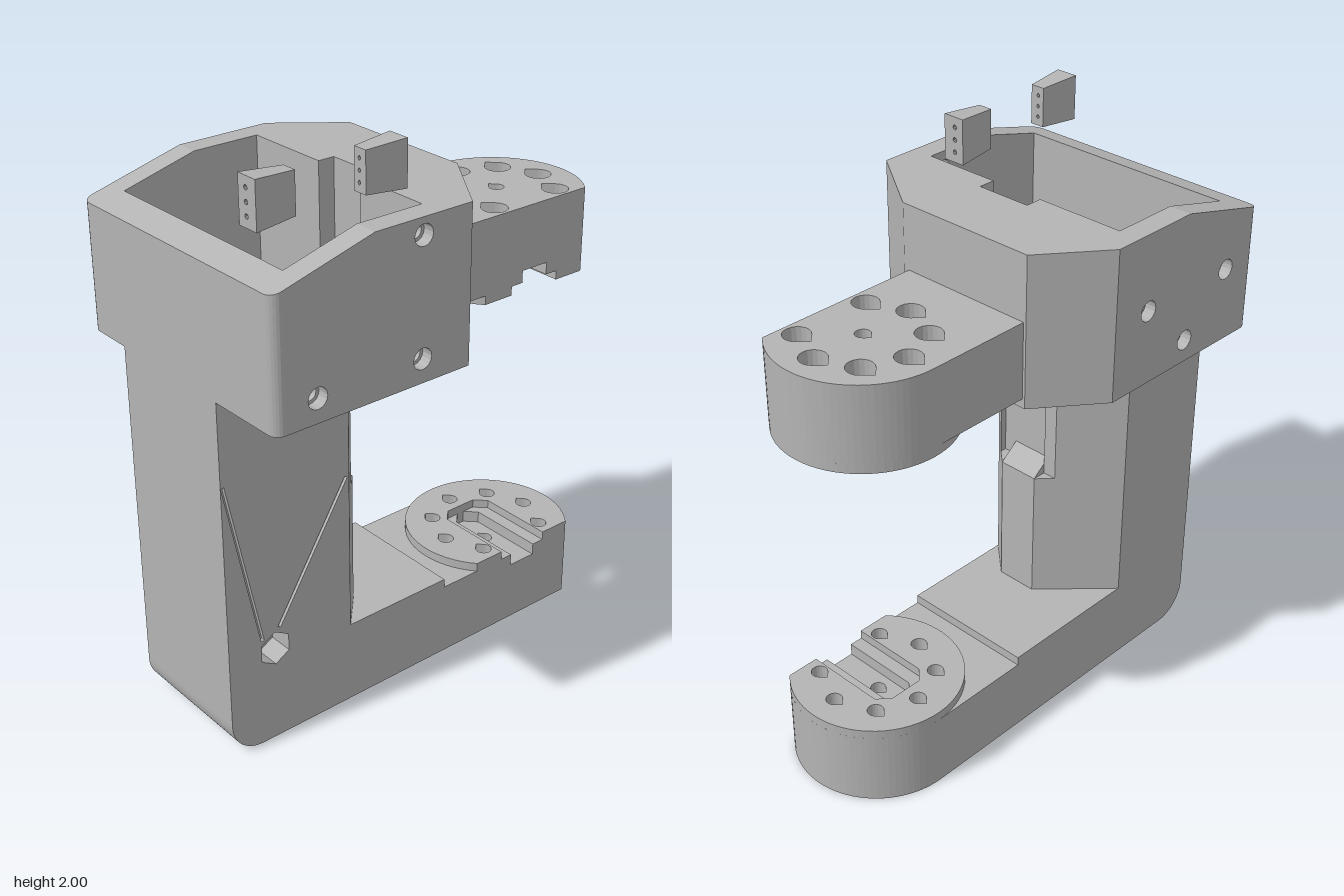
import * as THREE from 'three';

const grey = new THREE.MeshStandardMaterial({ color: 0xb4b4b4 });
grey.name = 'grey plastic';

// Outline with holes, always wound counter-clockwise so that hole walls face inwards
function shapeOf(pts, holes, map) {
  const outline = pts.map(map);
  if (THREE.ShapeUtils.area(outline) < 0) outline.reverse();
  const shape = new THREE.Shape(outline);
  for (const h of holes) shape.holes.push(new THREE.Path(h.map(map)));
  return shape;
}

// Prism standing on y0, footprint given as [x, z]
function prismY(pts, y0, y1, holes = []) {
  const s = shapeOf(pts, holes, ([x, z]) => new THREE.Vector2(x, -z));
  return new THREE.ExtrudeGeometry(s, { depth: y1 - y0, bevelEnabled: false }).rotateX(-Math.PI / 2).translate(0, y0, 0);
}

// Prism running along x, side profile given as [z, y]
function prismX(pts, x0, x1, holes = []) {
  const s = shapeOf(pts, holes, ([z, y]) => new THREE.Vector2(-z, y));
  return new THREE.ExtrudeGeometry(s, { depth: x1 - x0, bevelEnabled: false }).rotateY(Math.PI / 2).translate(x0, 0, 0);
}

function arc(cx, cy, r, a0, a1, n) {
  return Array.from({ length: n + 1 }, (_, i) => {
    const a = a0 + (a1 - a0) * i / n;
    return [cx + r * Math.cos(a), cy + r * Math.sin(a)];
  });
}

// Closed regular polygon with one corner pointing up
const circle = (cx, cy, r, n = 16) => arc(cx, cy, r, Math.PI / 2, Math.PI / 2 + 2 * Math.PI * (1 - 1 / n), n - 1);

// Round hole with a point towards -x
const teardrop = (x, z, r) => [...arc(x, z, r, -Math.PI * 0.75, Math.PI * 0.75, 14), [x - r * 1.41, z]];

const rect = (a0, b0, a1, b1) => [[a0, b0], [a1, b0], [a1, b1], [a0, b1]];

// Thin slit between two points
function slit([az, ay], [bz, by], w) {
  const l = Math.hypot(bz - az, by - ay), nz = -(by - ay) / l * w, ny = (bz - az) / l * w;
  return [[az + nz, ay + ny], [bz + nz, by + ny], [bz - nz, by - ny], [az - nz, ay - ny]];
}

export function createModel() {
  const model = new THREE.Group();
  model.name = 'clampBracket';
  const add = (name, geo, parent = model) => {
    const m = new THREE.Mesh(geo, grey);
    m.name = name;
    parent.add(m);
  };
  const L = -0.3, R = 0.19;

  // L-shaped body: foot and upright, with a rounded front toe
  const toeR = 0.12, toeSplit = -Math.asin((toeR - 0.035) / toeR);
  const toeLower = arc(0.79 - toeR, toeR, toeR, -Math.PI / 2, toeSplit, 6);
  const toeUpper = arc(0.79 - toeR, toeR, toeR, toeSplit, 0, 6);
  const profile = (zBack) => [[-0.12, 0.035], ...toeUpper, [0.79, 1.3], [zBack, 1.3], [zBack, 0.3], [-0.12, 0.3]];
  const hex = circle(0.61, 0.35, 0.062, 6);
  add('bodyCore', prismX(profile(0.41), L, 0.1));
  add('bodySocketSide', prismX(profile(0.3), 0.1, 0.175, [hex]));
  add('bodyOuterSide', prismX(profile(0.3), 0.175, R, [
    hex, slit([0.658, 0.4], [0.783, 1.01], 0.006), slit([0.592, 0.425], [0.312, 0.875], 0.006),
  ]));

  // Sole with a row of grooves under the toe
  add('sole', prismX(rect(-0.12, 0, 0.45, 0.035), L, R));
  for (let i = 0; i < 8; i++) {
    const x0 = i === 0 ? L : -0.25 + 0.065 * (i - 1) + 0.015;
    const x1 = i === 7 ? R : -0.25 + 0.065 * i - 0.015;
    add('soleRib', prismX([[0.45, 0], ...toeLower, [0.45, 0.035]], x0, x1));
  }

  // Chamfered back of the upright, with a channel in its upper half
  add('uprightBackLower', prismY([[L, 0.41], [-0.08, 0.19], [0.07, 0.19], [R, 0.3], [0.1, 0.3], [0.1, 0.41]], 0.3, 0.78));
  add('uprightBackUpper', prismY([[L, 0.41], [-0.13, 0.24], [-0.08, 0.24], [-0.08, 0.26], [0.12, 0.26], [0.12, 0.236],
    [R, 0.3], [0.1, 0.3], [0.1, 0.41]], 0.78, 1.3));
  add('channelRamp', prismX([[0.19, 0.78], [0.26, 0.78], [0.26, 0.835]], -0.08, 0.07));

  // Head: open box with a sloping front rim
  const head = new THREE.Group();
  head.name = 'head';
  model.add(head);
  const H = 0.48, P = 0.4, y0 = 1.3, yf = 1.34, top = 1.826;
  const rim = (z) => Math.min(top, 1.73 + (0.79 - z) * (top - 1.73) / 0.36);
  const frontEdge = [...arc(H - 0.035, 0.755, 0.035, 0, Math.PI / 2, 6), ...arc(-H + 0.035, 0.755, 0.035, Math.PI / 2, Math.PI, 6)];
  const backEdge = [[-H, 0.095], [-0.31, -0.12], [0.21, -0.12], [H, 0.065]];
  add('headFloor', prismY([...frontEdge, ...backEdge], y0, yf, [rect(-0.08, 0.13, 0.12, 0.26)]), head);
  add('headBack', prismY([...backEdge, [H, 0.19], [0.12, 0.19], [0.12, 0.13], [-0.08, 0.13], [-0.08, 0.19], [-H, 0.19]], yf, top), head);
  const front = prismY([...frontEdge, [-H, 0.69], [H, 0.69]], yf, top);
  const p = front.attributes.position;
  for (let i = 0; i < p.count; i++) p.setY(i, Math.min(p.getY(i), rim(p.getZ(i))));
  front.computeVertexNormals();
  add('headFront', front, head);

  // Side walls with countersunk screw holes, placed differently on each side
  const wall = [[0.19, yf], [0.69, yf], [0.69, rim(0.69)], [0.43, top], [0.19, top]];
  const screws = { 1: [[0.64, 1.38], [0.25, 1.38], [0.25, 1.77]], '-1': [[0.64, 1.56], [0.25, 1.56], [0.445, 1.38]] };
  for (const side of [1, -1]) {
    for (const [a, b, r] of [[P, 0.44, 0.024], [0.44, H, 0.035]]) {
      const holes = screws[side].map(([z, y]) => circle(z, y, r));
      add('headSide', prismX(wall, Math.min(a * side, b * side), Math.max(a * side, b * side), holes), head);
    }
  }

  // Two facing arms, each with a ring of holes, a raised disc and a stepped slot
  const cx = -0.005, cz = -0.497, r = 0.295;
  const aEnd = Math.acos((R - cx) / r);
  const holeRing = (size) => [1, 2, 3, 4, 5, 6, 7].map((k) =>
    teardrop(cx + 0.195 * Math.cos(k * Math.PI / 4), cz + 0.195 * Math.sin(k * Math.PI / 4), size));
  const notch = (w) => [[R, cz - w], [-0.1, cz - w], [-0.14, cz - w + 0.04], [-0.14, cz + w - 0.04], [-0.1, cz + w], [R, cz + w]];
  const armOutline = (slot = []) => [[L, -0.12], ...arc(cx, cz, r, Math.PI, 2 * Math.PI - aEnd, 32), ...slot, [R, -0.12]];
  const discOutline = [...arc(cx, cz, r, aEnd, 2 * Math.PI - aEnd, 48), ...notch(0.103)];
  const centre = teardrop(cx, cz, 0.026);
  const layers = [
    ['armOuter', armOutline(), 0, 0.12, [...holeRing(0.045), centre]],
    ['armMiddle', armOutline(), 0.12, 0.225, [...holeRing(0.028), centre]],
    ['armSlotted', armOutline(notch(0.055)), 0.225, 0.268, holeRing(0.028)],
    ['armDisc', discOutline, 0.268, 0.3, holeRing(0.028)],
  ];
  for (const upper of [false, true]) {
    const arm = new THREE.Group();
    arm.name = upper ? 'upperArm' : 'lowerArm';
    model.add(arm);
    for (const [name, pts, a, b, holes] of layers)
      add(name, upper ? prismY(pts, 1.6 - b, 1.6 - a, holes) : prismY(pts, a, b, holes), arm);
  }

  // Small tapered tabs above the head, pierced by three holes
  for (const [zWide, zThin] of [[0.715, 0.57], [0.175, 0.32]]) {
    const s = shapeOf(rect(-0.04, -0.077, 0.04, 0.077), [-0.042, 0, 0.042].map((y) => circle(-0.005, y, 0.008, 10)),
      ([x, y]) => new THREE.Vector2(x, y));
    const z0 = Math.min(zWide, zThin);
    const g = new THREE.ExtrudeGeometry(s, { depth: Math.abs(zWide - zThin), bevelEnabled: false }).translate(0, 0, z0);
    const q = g.attributes.position;
    for (let i = 0; i < q.count; i++) {
      if (Math.abs(q.getZ(i) - zThin) < 0.01) q.setXY(i, q.getX(i) * 0.65, q.getY(i) * 0.88);
    }
    g.computeVertexNormals();
    add('tab', g.translate(0.28, 1.923, 0));
  }
  return model;
}
